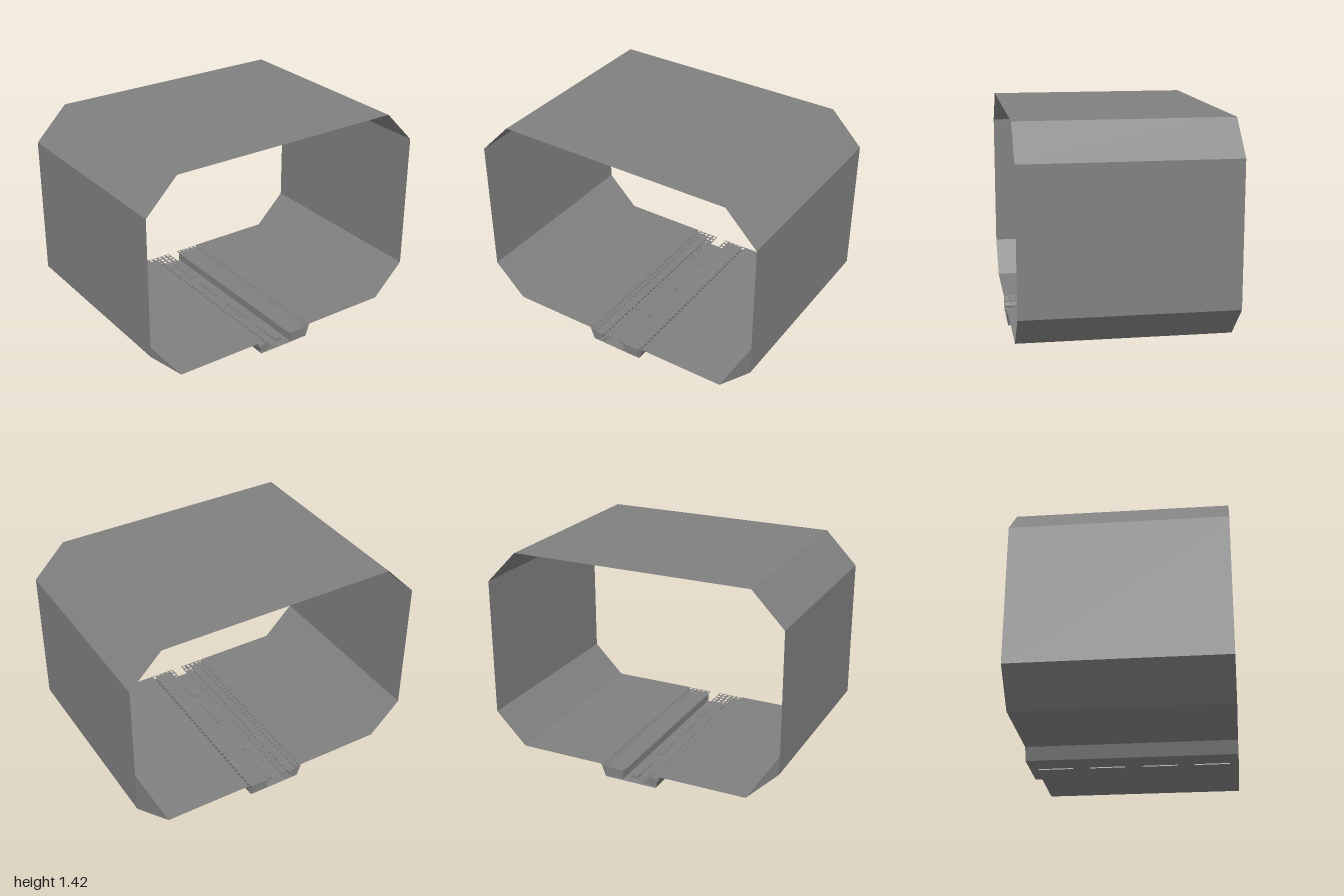
import * as THREE from 'three';

const HALF = 0.667; // half length of the tunnel along x

export function createModel() {
  const model = new THREE.Group();
  const grey = new THREE.MeshStandardMaterial({ color: 0x808080, side: THREE.DoubleSide });
  grey.name = 'panel grey';

  const add = (name, geometry, x = 0, y = 0, z = 0) => {
    const mesh = new THREE.Mesh(geometry, grey);
    mesh.name = name;
    mesh.position.set(x, y, z);
    model.add(mesh);
    return mesh;
  };

  // Flat-sided open sleeve along x from a closed loop of [z, y] points
  const sleeve = (loop, half) => {
    const positions = [];
    loop.forEach(([az, ay], i) => {
      const [bz, by] = loop[(i + 1) % loop.length];
      positions.push(-half, ay, az, half, ay, az, half, by, bz);
      positions.push(-half, ay, az, half, by, bz, -half, by, bz);
    });
    const geometry = new THREE.BufferGeometry();
    geometry.setAttribute('position', new THREE.Float32BufferAttribute(positions, 3));
    geometry.computeVertexNormals();
    return geometry;
  };

  // Corridor walls, ceiling and floor with the sunken service channel
  const half = [[0.79, 1.425], [1, 1.21], [1, 0.30], [0.79, 0.09], [0.21, 0.09], [0.18, 0.007]];
  const loop = [half[0], ...half.map(([z, y]) => [-z, y]), ...half.slice(1).reverse()];
  add('corridorShell', sleeve(loop, HALF));

  // Pipe and two cables lying in the channel
  const tube = (name, radius, y, z, sides) => {
    const geometry = new THREE.CylinderGeometry(radius, radius, 2 * HALF, sides);
    geometry.rotateZ(Math.PI / 2);
    add(name, geometry, 0, y, z);
  };
  tube('pipe', 0.03, 0.043, 0.155, 20);
  tube('outerCable', 0.007, 0.027, 0.112, 8);
  tube('innerCable', 0.007, 0.027, 0.09, 8);

  // Rectangular duct
  add('duct', new THREE.BoxGeometry(2 * HALF, 0.063, 0.117), 0, 0.045, -0.1135);

  // Four trapezoid light strips along the middle of the channel
  const section = new THREE.Shape([
    new THREE.Vector2(-0.024, 0), new THREE.Vector2(0.024, 0),
    new THREE.Vector2(0.017, 0.025), new THREE.Vector2(-0.017, 0.025),
  ]);
  for (let i = 0; i < 4; i++) {
    const strip = new THREE.ExtrudeGeometry(section, { depth: 0.224, bevelEnabled: false });
    strip.translate(0, 0, -0.112).rotateY(Math.PI / 2);
    add('lightStrip', strip, -0.5 + i / 3, 0, 0);
  }

  // Perforated walkway panels either side of the open centre slot
  const inner = 0.035, outer = 0.21, rows = 5, columns = 36;
  const rect = (Type, x0, y0, x1, y1) => new Type([
    new THREE.Vector2(x0, y0), new THREE.Vector2(x1, y0),
    new THREE.Vector2(x1, y1), new THREE.Vector2(x0, y1),
  ]);
  const panel = rect(THREE.Shape, -HALF, inner, HALF, outer);
  const dx = (2 * HALF) / columns, dz = (outer - inner) / rows;
  for (let c = 0; c < columns; c++) {
    for (let r = 0; r < rows; r++) {
      const x = -HALF + c * dx, z = inner + r * dz;
      panel.holes.push(rect(THREE.Path, x + 0.2 * dx, z + 0.25 * dz, x + 0.8 * dx, z + 0.75 * dz));
    }
  }
  for (const turn of [0, Math.PI]) {
    const grate = new THREE.ShapeGeometry(panel);
    grate.rotateX(-Math.PI / 2).rotateY(turn);
    add('floorGrate', grate, 0, 0.088, 0);
  }

  return model;
}
